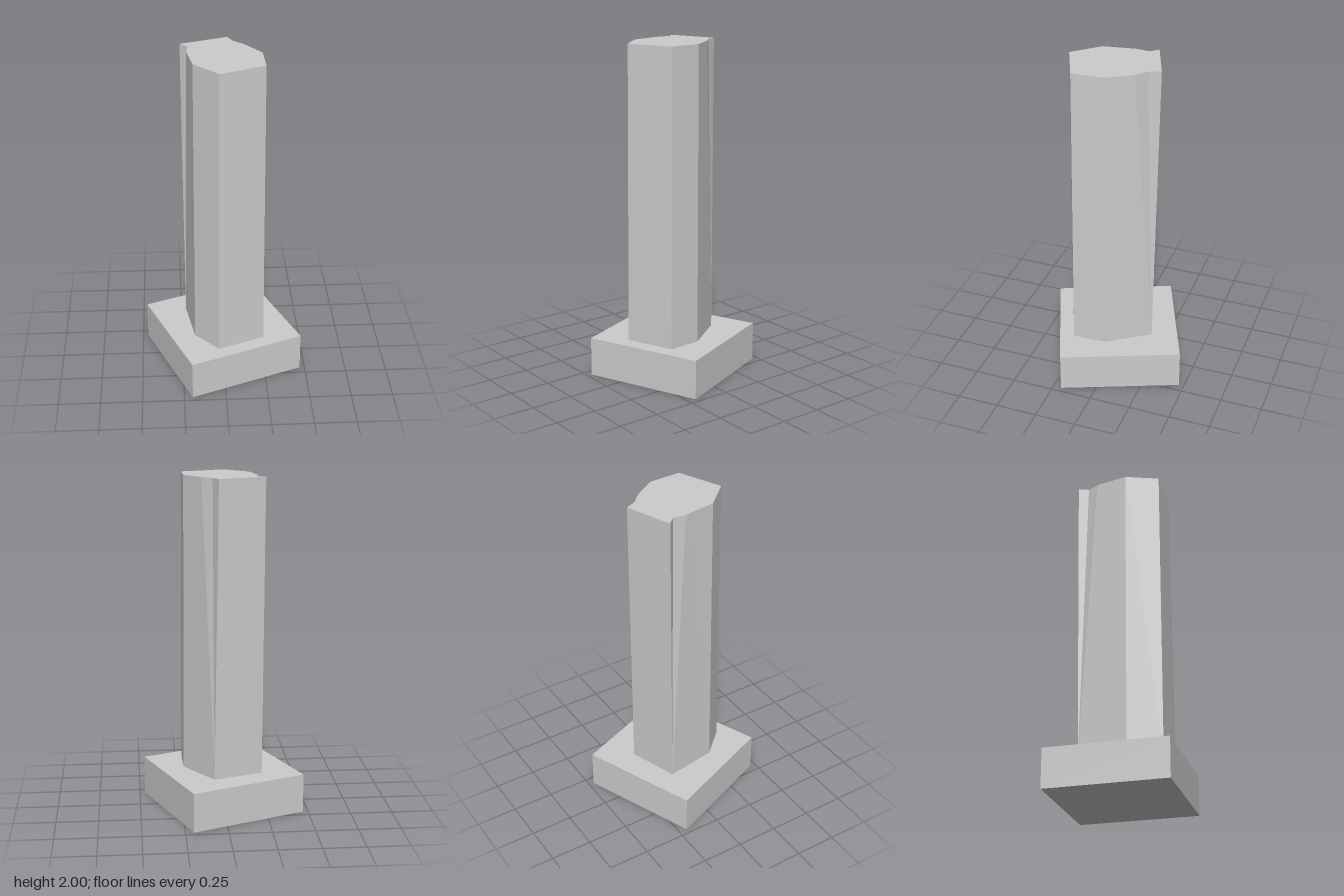
import * as THREE from 'three';

const BASE_H = 0.235, TOP = 2;

// Column outline pairs [topX, topZ, bottomX, bottomZ]; the notched
// back corners of the top taper down to single corners at the foot.
const OUTLINE = [
  [-0.03, 0.3, -0.035, 0.31],
  [0.23, 0.19, 0.24, 0.2],
  [0.225, -0.005, 0.235, 0],
  [0.13, -0.145, 0.065, -0.245],
  [0.07, -0.2, 0.065, -0.245],
  [0.04, -0.267, 0.065, -0.245],
  [-0.235, -0.165, -0.225, -0.145],
  [-0.19, -0.12, -0.225, -0.145],
  [-0.2, -0.045, -0.225, -0.145],
  [-0.17, 0.15, -0.175, 0.16],
];

function columnGeometry() {
  const top = OUTLINE.map(([x, z]) => new THREE.Vector3(x, TOP, z));
  const foot = OUTLINE.map(([, , x, z]) => new THREE.Vector3(x, BASE_H, z));
  const points = [];
  // Sides
  top.forEach((t, i) => {
    const j = (i + 1) % top.length;
    if (!foot[i].equals(foot[j])) points.push(foot[i], foot[j], t);
    points.push(foot[j], top[j], t);
  });
  // Cap and underside
  const flat = OUTLINE.map(([x, z]) => new THREE.Vector2(x, -z));
  for (const [a, b, c] of THREE.ShapeUtils.triangulateShape(flat, [])) {
    points.push(top[a], top[b], top[c]);
  }
  const corners = foot.filter((p, i) => i === 0 || !p.equals(foot[i - 1]));
  for (let i = 1; i < corners.length - 1; i++) {
    points.push(corners[0], corners[i + 1], corners[i]);
  }
  const geometry = new THREE.BufferGeometry().setFromPoints(points);
  geometry.computeVertexNormals();
  return geometry;
}

export function createModel() {
  const group = new THREE.Group();
  group.name = 'pillar';
  const material = new THREE.MeshStandardMaterial({ color: 0xcccccc, flatShading: true });

  // Square plinth, turned about the vertical
  const base = new THREE.Mesh(new THREE.BoxGeometry(0.722, BASE_H, 0.722), material);
  base.name = 'base';
  base.position.y = BASE_H / 2;
  base.rotation.y = Math.atan2(0.27, 0.67);
  group.add(base);

  // Six-sided column
  const column = new THREE.Mesh(columnGeometry(), material);
  column.name = 'column';
  group.add(column);

  return group;
}
